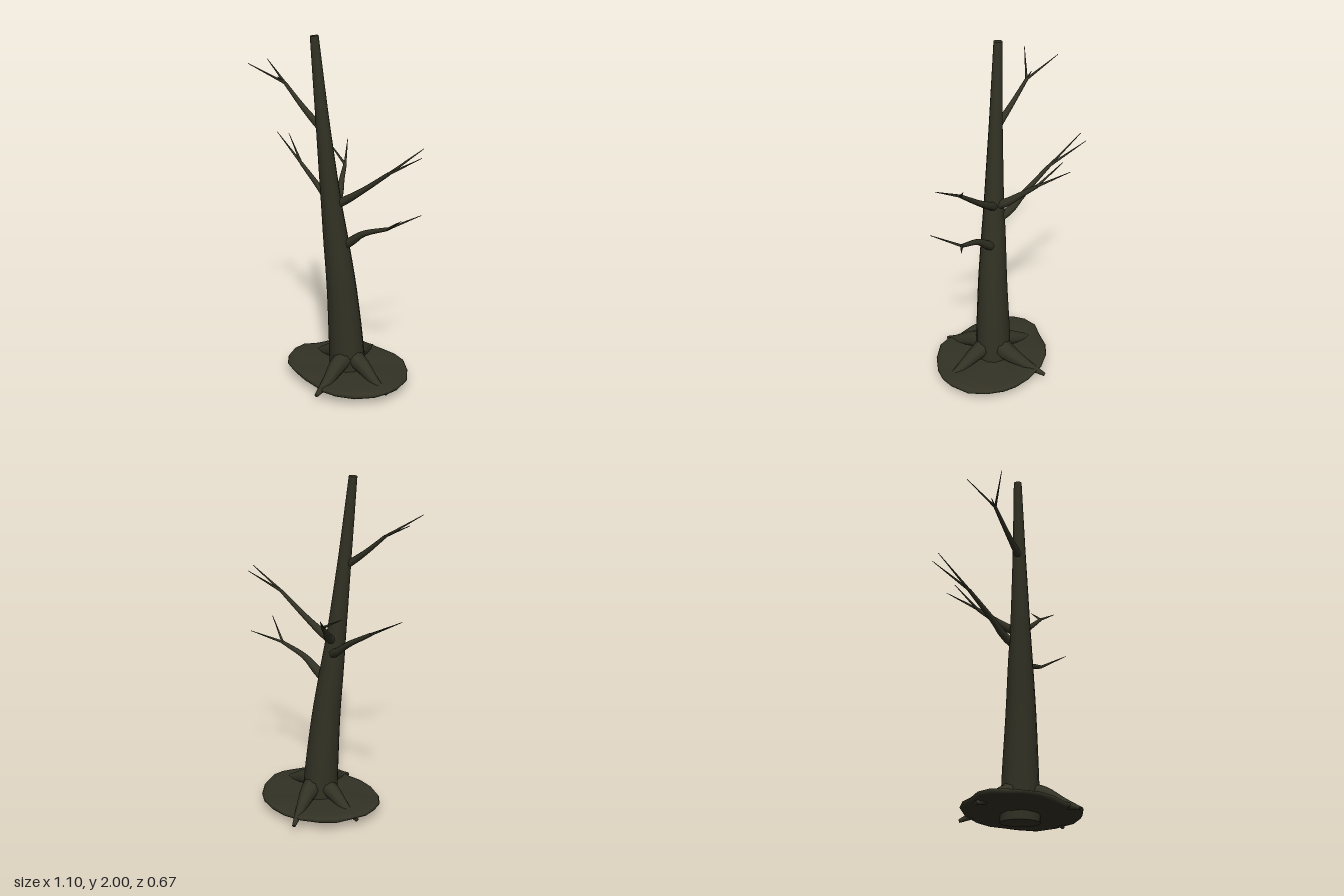
import * as THREE from 'three';

const bark = new THREE.MeshStandardMaterial({ color: 0x333225 });
bark.name = 'darkBark';

const vec = (p) => new THREE.Vector3(p[0], p[1], p[2]);

// Tapered limb through points [x, y, z, radius], with both ends capped
function limb(name, pts, sides = 8, segs = 10) {
  const group = new THREE.Group();
  group.name = name;
  const P = pts.map(vec);
  const curve = P.length > 2
    ? new THREE.CatmullRomCurve3(P, false, 'centripetal')
    : new THREE.LineCurve3(P[0], P[1]);
  const at = [0];
  for (let i = 1; i < P.length; i++) at.push(at[i - 1] + P[i].distanceTo(P[i - 1]));
  const total = at[at.length - 1];
  const radius = (u) => {
    let k = 1;
    while (k < P.length - 1 && at[k] < u * total) k++;
    const t = (u * total - at[k - 1]) / (at[k] - at[k - 1]);
    return THREE.MathUtils.lerp(pts[k - 1][3], pts[k][3], t);
  };

  // scale each ring of a unit tube around the curve
  const geo = new THREE.TubeGeometry(curve, segs, 1, sides, false);
  const pos = geo.attributes.position;
  const v = new THREE.Vector3();
  for (let i = 0; i <= segs; i++) {
    const c = curve.getPointAt(i / segs);
    const r = radius(i / segs);
    for (let j = 0; j <= sides; j++) {
      const k = i * (sides + 1) + j;
      v.fromBufferAttribute(pos, k).sub(c).multiplyScalar(r).add(c);
      pos.setXYZ(k, v.x, v.y, v.z);
    }
  }
  const tube = new THREE.Mesh(geo, bark);
  tube.name = name + 'Body';
  group.add(tube);

  for (const [u, dir] of [[0, -1], [1, 1]]) {
    const cap = new THREE.Mesh(new THREE.CircleGeometry(radius(u), sides * 2), bark);
    cap.name = name + 'End';
    cap.position.copy(curve.getPointAt(u));
    cap.quaternion.setFromUnitVectors(new THREE.Vector3(0, 0, 1), curve.getTangentAt(u).multiplyScalar(dir));
    group.add(cap);
  }
  return group;
}

// Uneven disc of earth lofted from scaled copies of one outline
function mound() {
  const outline = [
    [0.46, -0.02], [0.43, -0.13], [0.36, -0.22], [0.28, -0.28], [0.2, -0.3], [0.1, -0.305],
    [-0.02, -0.29], [-0.12, -0.24], [-0.19, -0.17], [-0.235, -0.08], [-0.28, 0], [-0.275, 0.08],
    [-0.25, 0.15], [-0.19, 0.215], [-0.1, 0.255], [0, 0.275], [0.1, 0.28], [0.18, 0.3],
    [0.26, 0.285], [0.35, 0.22], [0.42, 0.13], [0.455, 0.05],
  ];
  // [scale, height] from the top centre, over the rim, to the underside centre
  const rings = [[0.01, 0.095], [0.4, 0.095], [0.7, 0.092], [0.9, 0.09], [0.98, 0.083],
    [1, 0.073], [0.97, 0.06], [0.88, 0.052], [0.6, 0.048], [0.01, 0.048]];
  const n = outline.length;
  const pos = [], idx = [];
  rings.forEach(([s, y], i) => outline.forEach(([x, z], j) => {
    const wave = 0.005 * s * Math.sin(j * 1.7 + i * 0.5);
    const px = 0.09 + (x - 0.09) * s;
    pos.push(px, y + wave - 0.02 * (px - 0.09), z * s);
    if (i < rings.length - 1) {
      const a = i * n + j, b = i * n + (j + 1) % n;
      idx.push(a, b, a + n, b, b + n, a + n);
    }
  }));
  const geo = new THREE.BufferGeometry();
  geo.setAttribute('position', new THREE.Float32BufferAttribute(pos, 3));
  // outline runs anticlockwise seen from above, so flip to face outward
  for (let i = 0; i < idx.length; i += 3) [idx[i + 1], idx[i + 2]] = [idx[i + 2], idx[i + 1]];
  geo.setIndex(idx);
  geo.computeVertexNormals();
  const mesh = new THREE.Mesh(geo, bark);
  mesh.name = 'groundMound';
  return mesh;
}

// Branch with a thick stem and thin twigs growing from its fork
function branch(name, stem, tips) {
  const group = new THREE.Group();
  group.name = name;
  group.add(limb(name + 'Stem', stem, 8, 8));
  const fork = stem[stem.length - 1];
  for (const tip of tips) {
    group.add(limb(name + 'Twig', [[fork[0], fork[1], fork[2], fork[3] * 0.85], [...tip, 0.0015]], 6, 3));
  }
  return group;
}

export function createModel() {
  const tree = new THREE.Group();
  tree.name = 'bareTree';

  tree.add(limb('trunk', [
    [0.093, 0.008, -0.003, 0.108], [0.08, 0.3, 0.01, 0.098], [0.063, 0.6, 0.027, 0.084],
    [0.036, 0.88, 0.045, 0.07], [0.015, 1.1, 0.06, 0.056], [-0.025, 1.55, 0.083, 0.037],
    [-0.063, 1.999, 0.102, 0.023],
  ], 14, 24));

  tree.add(mound());

  // Roots
  const roots = {
    frontRoot: [[0.115, 0.17, 0.04, 0.055], [0.125, 0.14, 0.13, 0.048], [0.145, 0.085, 0.235, 0.03], [0.155, 0.047, 0.33, 0.01]],
    backRoot: [[0.09, 0.17, -0.05, 0.06], [0.075, 0.14, -0.12, 0.05], [0.03, 0.085, -0.24, 0.026], [-0.01, 0.047, -0.33, 0.01]],
    leftRoot: [[0.13, 0.17, 0.01, 0.055], [0.22, 0.14, 0.02, 0.045], [0.33, 0.085, 0.035, 0.027], [0.43, 0.047, 0.045, 0.01]],
    rightRoot: [[0.05, 0.17, -0.01, 0.055], [-0.03, 0.14, -0.015, 0.045], [-0.14, 0.085, -0.03, 0.027], [-0.24, 0.047, -0.04, 0.01]],
  };
  for (const name in roots) tree.add(limb(name, roots[name]));

  // Branches
  tree.add(branch('upperRightBranch',
    [[-0.03, 1.51, 0.09, 0.022], [-0.08, 1.545, 0.095, 0.019], [-0.17, 1.615, 0.1, 0.014], [-0.285, 1.715, 0.105, 0.009]],
    [[-0.48, 1.815, 0.055], [-0.42, 1.825, 0.25], [-0.335, 1.745, 0.115]]));
  tree.add(branch('middleRightBranch',
    [[0.01, 1.0, 0.02, 0.026], [-0.05, 1.035, -0.005, 0.022], [-0.13, 1.1, -0.018, 0.017], [-0.32, 1.22, -0.043, 0.01]],
    [[-0.55, 1.355, -0.075], [-0.52, 1.34, -0.14]]));
  tree.add(branch('backBranch',
    [[0.015, 1.08, 0.03, 0.028], [0, 1.11, -0.02, 0.024], [-0.045, 1.17, -0.09, 0.016], [-0.09, 1.235, -0.165, 0.01]],
    [[-0.255, 1.33, -0.2], [-0.2, 1.335, -0.305]]));
  tree.add(branch('upperLeftBranch',
    [[0.04, 1.08, 0.035, 0.027], [0.09, 1.11, 0.02, 0.023], [0.19, 1.18, 0, 0.016], [0.35, 1.305, -0.03, 0.01]],
    [[0.465, 1.435, -0.175], [0.545, 1.425, -0.06]]));
  tree.add(branch('lowerLeftBranch',
    [[0.09, 0.85, 0.015, 0.027], [0.13, 0.88, 0.01, 0.025], [0.2, 0.935, 0, 0.017], [0.35, 0.995, -0.03, 0.01]],
    [[0.505, 1.1, 0.045], [0.475, 1.07, -0.16]]));

  return tree;
}
